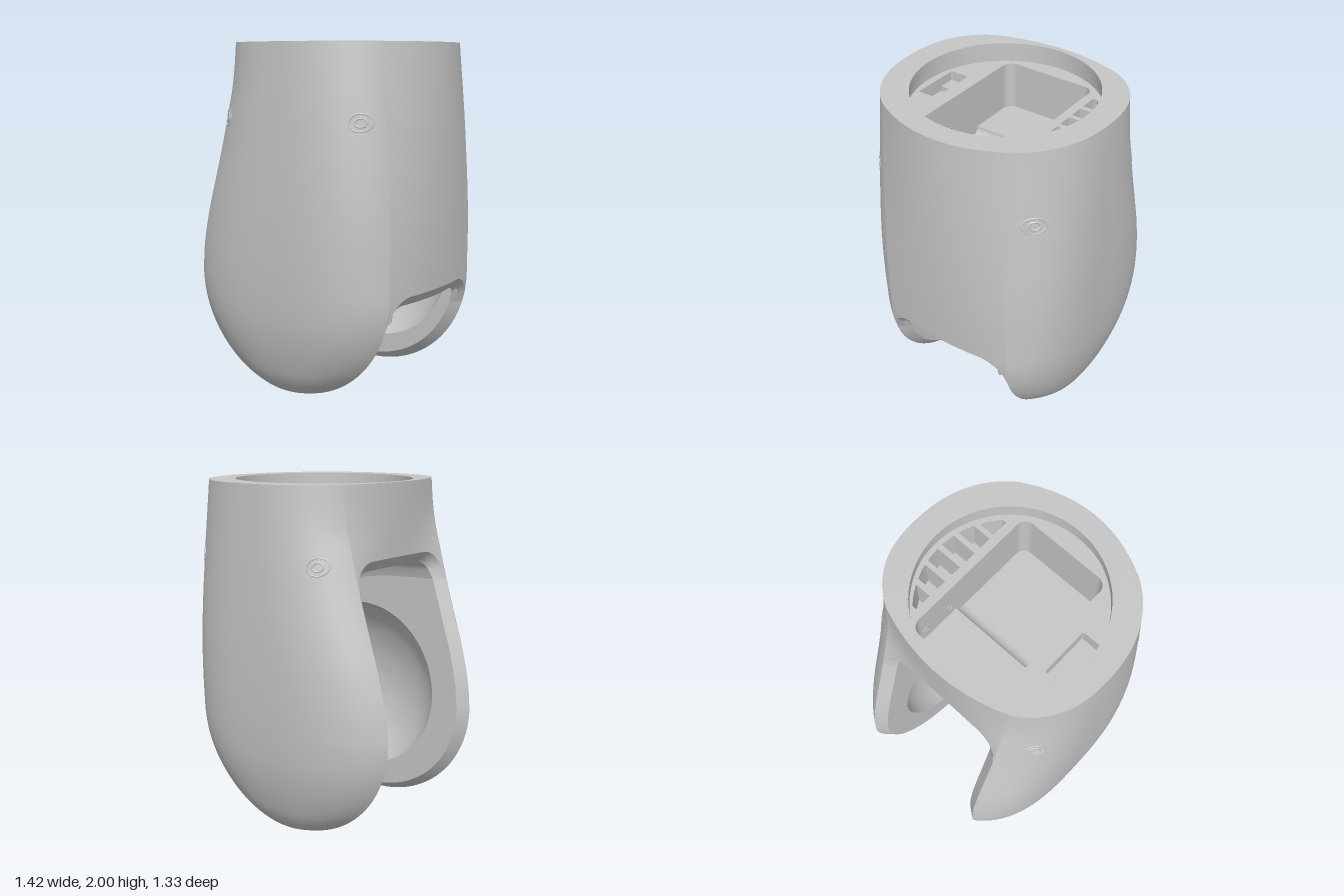
import * as THREE from 'three';

const ZE = 0.414, ZI = 0.35, R = 0.17, BEVEL = 0.05; // slot half widths, corner radius, rim bevel
const TOP = 2;

// smooth function through a few [y, value] stations
function track(...stations) {
  const f = new THREE.CubicInterpolant(stations.map(s => s[0]), stations.map(s => s[1]), 1, [0]);
  return y => f.evaluate(y)[0];
}
const round = y => Math.sqrt(Math.max(0, 1 - ((0.65 - y) / 0.65) ** 2));
const upperL = track([0.65, -0.715], [0.8, -0.70], [1, -0.655], [1.2, -0.592], [1.4, -0.53], [1.6, -0.475], [1.75, -0.435], [1.88, -0.415], [2, -0.405]);
const upperR = track([0.65, 0.65], [1, 0.648], [1.5, 0.618], [2, 0.57]);
const edgeL = y => (y < 0.65 ? -0.03 - 0.685 * round(y) : upperL(y));
const edgeR = y => (y < 0.65 ? -0.03 + 0.68 * round(y) : upperR(y));
const midL = track([0, -0.475], [1.6, -0.475], [2, -0.485]);
const midR = track([0.4, 0.68], [0.64, 0.695], [1, 0.706], [1.5, 0.706], [2, 0.695]);
const centre = track([0, -0.03], [0.3, -0.025], [1, 0], [1.5, 0.035], [2, 0.06]);
const bulge = track([0, 0.43], [0.015, 0.462], [0.04, 0.492], [0.1, 0.535], [0.2, 0.577], [0.4, 0.628], [0.6, 0.65], [1, 0.664], [1.5, 0.661], [2, 0.65]);
const powL = track([0, 2.4], [0.6, 2.75], [1.1, 2.75], [1.6, 2.55], [2, 2.45]);
const powR = track([0, 2.4], [0.6, 3], [1.1, 3], [1.6, 2.55], [2, 2.2]);

// half of a horizontal section: side -1 or 1
function half(y, side) {
  const n = side < 0 ? powL(y) : powR(y), b = bulge(y), c = centre(y);
  const start = Math.asin((ZE / b) ** (n / 2));
  const a = Math.abs((side < 0 ? edgeL(y) : edgeR(y)) - c) / Math.cos(start) ** (2 / n);
  return { n, b, c, a, start };
}
function section(y, u) {
  const side = u < 0.5 ? -1 : 1, { n, b, c, a, start } = half(y, side);
  const t = start + (Math.PI / 2 - start) * (1 - Math.abs(2 * u - 1));
  return [c + side * a * Math.max(0, Math.cos(t)) ** (2 / n), b * Math.sin(t) ** (2 / n)];
}
function surfaceZ(x, y) {
  const { n, b, c, a } = half(y, x < centre(y) ? -1 : 1);
  return b * Math.max(0, 1 - (Math.abs(x - c) / a) ** n) ** (1 / n);
}
// x of the wall that spans the two cheeks
function wallX(side, y, z) {
  const m = side < 0 ? midL(y) : midR(y), e = side < 0 ? edgeL(y) : edgeR(y);
  return m + (e - m) * (z / ZE) ** 2;
}
const slotTop = side => (side < 0 ? 1.59 : 0.64);
const drop = (z, w, r) => r - Math.sqrt(Math.max(0, r * r - Math.max(0, Math.abs(z) - w + r) ** 2));
function archOuter(side, s) { // s from -1 to 1 across z
  const z = s * ZE, y = slotTop(side) - drop(z, ZE, R);
  return [wallX(side, y, z), y, z];
}
function archInner(side, s) {
  const [x] = archOuter(side, s), z = s * ZI;
  return [x - side * BEVEL, slotTop(side) - 0.06 - drop(z, ZI, R - 0.06), z];
}
function inset(x, y) {
  const dx = x + 0.02, dy = Math.min(y, 0.65) - 0.65, l = Math.hypot(dx, dy);
  return [x - BEVEL * dx / l, y - BEVEL * dy / l];
}

function grid(rows, cols, fn) {
  const pos = [], idx = [];
  for (let i = 0; i <= rows; i++) for (let j = 0; j <= cols; j++) {
    pos.push(...fn(i / rows, j / cols));
    if (i < rows && j < cols) {
      const a = i * (cols + 1) + j, b = a + cols + 1;
      idx.push(a, b, a + 1, b, b + 1, a + 1);
    }
  }
  const g = new THREE.BufferGeometry();
  g.setAttribute('position', new THREE.Float32BufferAttribute(pos, 3));
  g.setIndex(idx);
  g.computeVertexNormals();
  return g;
}
// ring that is round from the front and lies on the curved skin
function skinRing(x, y, s, radius, tube) {
  const g = new THREE.TorusGeometry(radius, tube, 8, 32), p = g.attributes.position;
  for (let i = 0; i < p.count; i++) {
    const px = x + p.getX(i), py = y + p.getY(i);
    p.setXYZ(i, px, py, s * (surfaceZ(px, py) + p.getZ(i)));
  }
  g.computeVertexNormals();
  return g;
}
function roundedRect(path, x0, z0, x1, z1, r) {
  path.absarc(x1 - r, z1 - r, r, 0, Math.PI / 2);
  path.absarc(x0 + r, z1 - r, r, Math.PI / 2, Math.PI);
  path.absarc(x0 + r, z0 + r, r, Math.PI, Math.PI * 1.5);
  path.absarc(x1 - r, z0 + r, r, Math.PI * 1.5, Math.PI * 2);
  path.closePath();
  return path;
}
const circle = (x, y, r) => new THREE.Path().absarc(x, y, r, 0, Math.PI * 2);
const slab = (shape, depth) =>
  new THREE.ExtrudeGeometry(shape, { depth, bevelEnabled: false, curveSegments: 36 }).rotateX(Math.PI / 2);

export function createModel() {
  const model = new THREE.Group();
  const grey = new THREE.MeshStandardMaterial({ color: 0xc6c6c6, side: THREE.DoubleSide });
  grey.name = 'light grey plastic';
  const add = (name, geo, x = 0, y = 0, z = 0) => {
    const m = new THREE.Mesh(geo, grey);
    m.name = name;
    m.position.set(x, y, z);
    model.add(m);
  };

  // cheek inner wall outline: left edge down, right edge up, then along the cavity ceiling
  const ceiling = new THREE.CatmullRomCurve3([[0.62, 0.58], [0.62, 0.8], [0.55, 1.08], [0.36, 1.34], [0.02, 1.49], [-0.42, 1.53]]
    .map(p => new THREE.Vector3(p[0], p[1], 0)));
  const outline = [];
  for (let i = 40; i >= 0; i--) { const y = 1.53 * (i / 40) ** 2; outline.push(inset(edgeL(y), y)); }
  for (let i = 1; i <= 30; i++) { const y = 0.56 * (i / 30) ** 2; outline.push(inset(edgeR(y), y)); }
  for (const p of ceiling.getPoints(24).slice(0, -1)) outline.push([p.x, p.y]);

  for (const s of [1, -1]) {
    const side = s > 0 ? 'front' : 'back';
    // outer cheek skin
    add(side + 'Shell', grid(72, 64, (i, j) => {
      const y = TOP * i * i, [x, z] = section(y, j);
      return [x, y, s * z];
    }));
    // flat inner wall opening into a ball-shaped hollow
    const wall = new THREE.Shape(outline.map(p => new THREE.Vector2(...p)));
    wall.holes.push(circle(0.03, 0.7, 0.52));
    add(side + 'InnerWall', new THREE.ShapeGeometry(wall, 48), 0, 0, s * ZI);
    const bowl = new THREE.SplineCurve([[0.52, 0], [0.48, 0.065], [0.4, 0.135], [0.3, 0.19], [0.15, 0.235], [0, 0.25]]
      .map(p => new THREE.Vector2(...p))).getPoints(20);
    add(side + 'Hollow', new THREE.LatheGeometry(bowl, 64).rotateX(s * Math.PI / 2), 0.03, 0.7, s * ZI);
    // bevelled rim round the cheek
    for (const [name, edge, k] of [['LeftRim', edgeL, -1], ['RightRim', edgeR, 1]])
      add(side + name, grid(48, 1, (i, j) => {
        const y = (slotTop(k) - R) * i * i, x = edge(y);
        return j ? [...inset(x, y), s * ZI] : [x, y, s * ZE];
      }));
    // screw seats
    for (const x of [-0.355, 0.53]) {
      add('screwSeat', skinRing(x, 1.585, s, 0.047, 0.004));
      add('screwHead', skinRing(x, 1.585, s, 0.023, 0.005));
    }
  }

  // walls between the cheeks and their arched rims
  for (const k of [-1, 1]) {
    const name = k < 0 ? 'left' : 'right';
    add(name + 'Wall', grid(32, 48, (i, j) => {
      const z = (2 * j - 1) * ZE, low = slotTop(k) - drop(z, ZE, R), y = low + (TOP - low) * i;
      return [wallX(k, y, z), y, z];
    }));
    add(name + 'ArchRim', grid(1, 48, (i, j) => (i ? archInner : archOuter)(k, 2 * j - 1)));
  }
  // curved cavity ceiling
  add('cavityCeiling', grid(32, 48, (i, j) => {
    const s = 2 * j - 1;
    if (i === 0 || i === 1) return archInner(i ? -1 : 1, s);
    const p = ceiling.getPoint(i);
    return [p.x, p.y - drop(s * ZI, ZI, R - 0.06), s * ZI];
  }));

  // collar top with its round mouth
  const ring = [];
  for (let j = 0; j <= 64; j++) ring.push(section(TOP, j / 64));
  for (let j = 1; j < 24; j++) { const z = ZE * (1 - j / 12); ring.push([wallX(1, TOP, z), z]); }
  for (let j = 64; j >= 0; j--) { const [x, z] = section(TOP, j / 64); ring.push([x, -z]); }
  for (let j = 1; j < 24; j++) { const z = ZE * (j / 12 - 1); ring.push([wallX(-1, TOP, z), z]); }
  const collar = new THREE.Shape(ring.map(p => new THREE.Vector2(...p)));
  collar.holes.push(circle(0.06, 0, 0.51));
  add('collarTop', new THREE.ShapeGeometry(collar, 48).rotateX(Math.PI / 2), 0, TOP, 0);
  const lip = [[0.51, 2], [0.51, 1.94], [0.53, 1.94], [0.53, 1.88]];
  for (let i = 0; i < 3; i++)
    add('mouthLip', new THREE.LatheGeometry([lip[i], lip[i + 1]].map(p => new THREE.Vector2(...p)), 72), 0.06, 0, 0);

  // deck with main pocket, vent slots and connector pocket
  const pocket = path => roundedRect(path, -0.37, -0.29, 0.49, 0.285, 0.06);
  const deck = new THREE.Shape();
  deck.absarc(0.06, 0, 0.53, 0, Math.PI * 2);
  deck.holes.push(pocket(new THREE.Path()), roundedRect(new THREE.Path(), -0.085, 0.37, 0.205, 0.485, 0.01));
  for (const [a, b] of [[-0.28, -0.18], [-0.15, -0.067], [-0.04, 0.044], [0.075, 0.155], [0.185, 0.27], [0.3, 0.4]]) {
    const pts = [new THREE.Vector2(a, -0.34), new THREE.Vector2(b, -0.34)];
    for (let i = 0; i <= 6; i++) {
      const x = b + (a - b) * i / 6;
      pts.push(new THREE.Vector2(x, -Math.sqrt(0.25 - (x - 0.06) ** 2)));
    }
    deck.holes.push(new THREE.Path(pts));
  }
  add('deck', slab(deck, 0.2), 0, 1.88, 0);
  add('ventFloor', new THREE.BoxGeometry(0.72, 0.02, 0.18), 0.06, 1.68, -0.415);
  // lower part of the main pocket
  const pocketWall = roundedRect(new THREE.Shape(), -0.385, -0.305, 0.505, 0.3, 0.07);
  pocketWall.holes.push(pocket(new THREE.Path()));
  add('pocketWall', slab(pocketWall, 0.13), 0, 1.68, 0);
  add('pocketFloor', new THREE.ShapeGeometry(pocket(new THREE.Shape())).rotateX(Math.PI / 2), 0, 1.55, 0);
  // raised half of the floor, running down in a hollow curve
  add('floorLedge', new THREE.PlaneGeometry(0.32, 0.575).rotateX(-Math.PI / 2), -0.215, 1.6, -0.0025);
  add('floorCurve', grid(10, 1, (i, j) => {
    const t = i * Math.PI / 2;
    return [-0.055 + 0.06 * (1 - Math.cos(t)), 1.6 - 0.05 * Math.sin(t), j * 0.575 - 0.29];
  }));
  add('connectorFloor', new THREE.BoxGeometry(0.288, 0.1, 0.114), 0.06, 1.75, 0.428);
  add('connectorBlock', new THREE.BoxGeometry(0.095, 0.03, 0.1), -0.03, 1.815, 0.432);
  // small holes in the pocket walls
  for (const [x, y, z] of [[-0.28, 1.69, -0.288], [-0.1, 1.69, -0.288], [0.4, 1.69, 0.283], [0.2, 1.69, 0.283], [0.4, 1.59, 0.283]])
    add('wallHole', new THREE.TorusGeometry(0.022, 0.004, 6, 20), x, y, z);

  return model;
}
